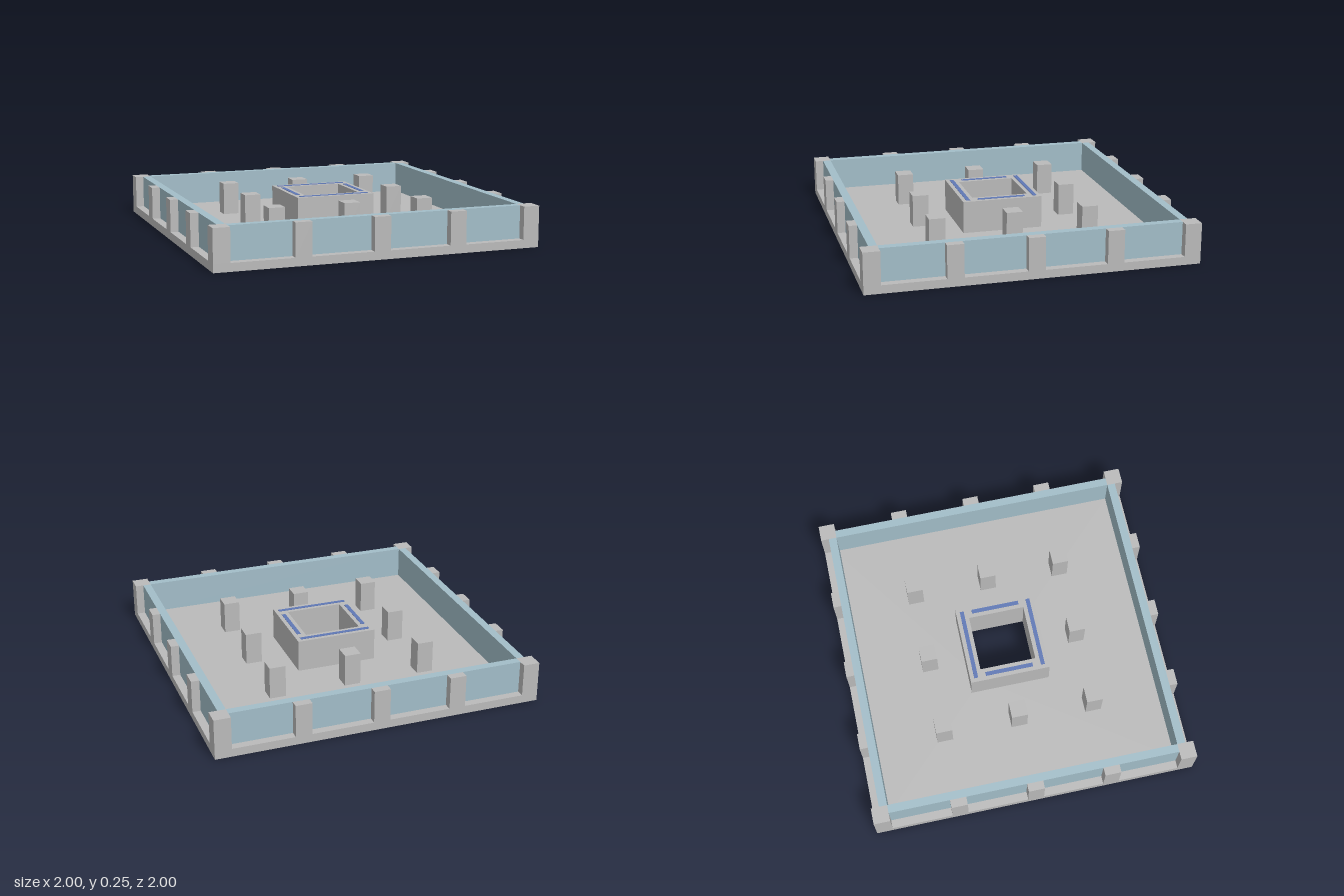
import * as THREE from 'three';

const FLOOR = 0.05, TOP = 0.25, WALL = TOP - FLOOR;

export function createModel() {
  const model = new THREE.Group();
  model.name = 'officeFloor';
  const material = (name, color) => {
    const m = new THREE.MeshStandardMaterial({ color });
    m.name = name;
    return m;
  };
  const concrete = material('concrete', 0xbababa);
  const glass = material('glass', 0xa2bdc8);
  const blue = material('blue', 0x5f78b5);

  const add = (name, geometry, mat, parent = model) => {
    const mesh = new THREE.Mesh(geometry, mat);
    mesh.name = name;
    parent.add(mesh);
    return mesh;
  };
  // Box given by its centre in plan and its bottom height
  const box = (name, w, h, d, x, y, z, mat, parent) =>
    add(name, new THREE.BoxGeometry(w, h, d).translate(x, y + h / 2, z), mat, parent);

  // Square plate or tube with a square opening
  const frame = (name, outer, inner, y, h, mat) => {
    const corners = (r) => [[-r, -r], [r, -r], [r, r], [-r, r]].map(([x, z]) => new THREE.Vector2(x, z));
    const shape = new THREE.Shape(corners(outer));
    shape.holes.push(new THREE.Path(corners(inner).reverse()));
    const geo = new THREE.ExtrudeGeometry(shape, { depth: h, bevelEnabled: false });
    return add(name, geo.rotateX(-Math.PI / 2).translate(0, y, 0), mat);
  };

  // Floor slab and hollow service core
  frame('floorSlab', 1, 0.175, 0, FLOOR, concrete);
  frame('core', 0.25, 0.175, FLOOR, WALL, concrete);

  // Continuous glazing inside the facade piers
  for (const s of [-1, 1]) {
    box('glassWall', 1.8, WALL, 0.05, 0, FLOOR, s * 0.925, glass);
    box('glassWall', 0.05, WALL, 1.8, s * 0.925, FLOOR, 0, glass);
  }

  // Corner posts
  for (const x of [-0.95, 0.95]) for (const z of [-0.95, 0.95])
    box('cornerPost', 0.1, WALL, 0.1, x, FLOOR, z, concrete);

  // Shallow piers on each facade
  const bays = [-0.475, 0, 0.475];
  for (const s of [-1, 1]) for (const p of bays) {
    box('facadePier', 0.1, WALL, 0.05, p, FLOOR, s * 0.975, concrete);
    box('facadePier', 0.05, WALL, 0.1, s * 0.975, FLOOR, p, concrete);
  }

  // Free-standing columns around the core
  for (const x of bays) for (const z of bays)
    if (x || z) box('column', 0.1, WALL, 0.1, x, FLOOR, z, concrete);

  // Thin blue strips on top of the core
  for (const s of [-1, 1]) {
    box('coreStrip', 0.45, 0.002, 0.025, 0, TOP, s * 0.2125, blue);
    box('coreStrip', 0.025, 0.002, 0.3, s * 0.2125, TOP, 0, blue);
  }
  return model;
}
